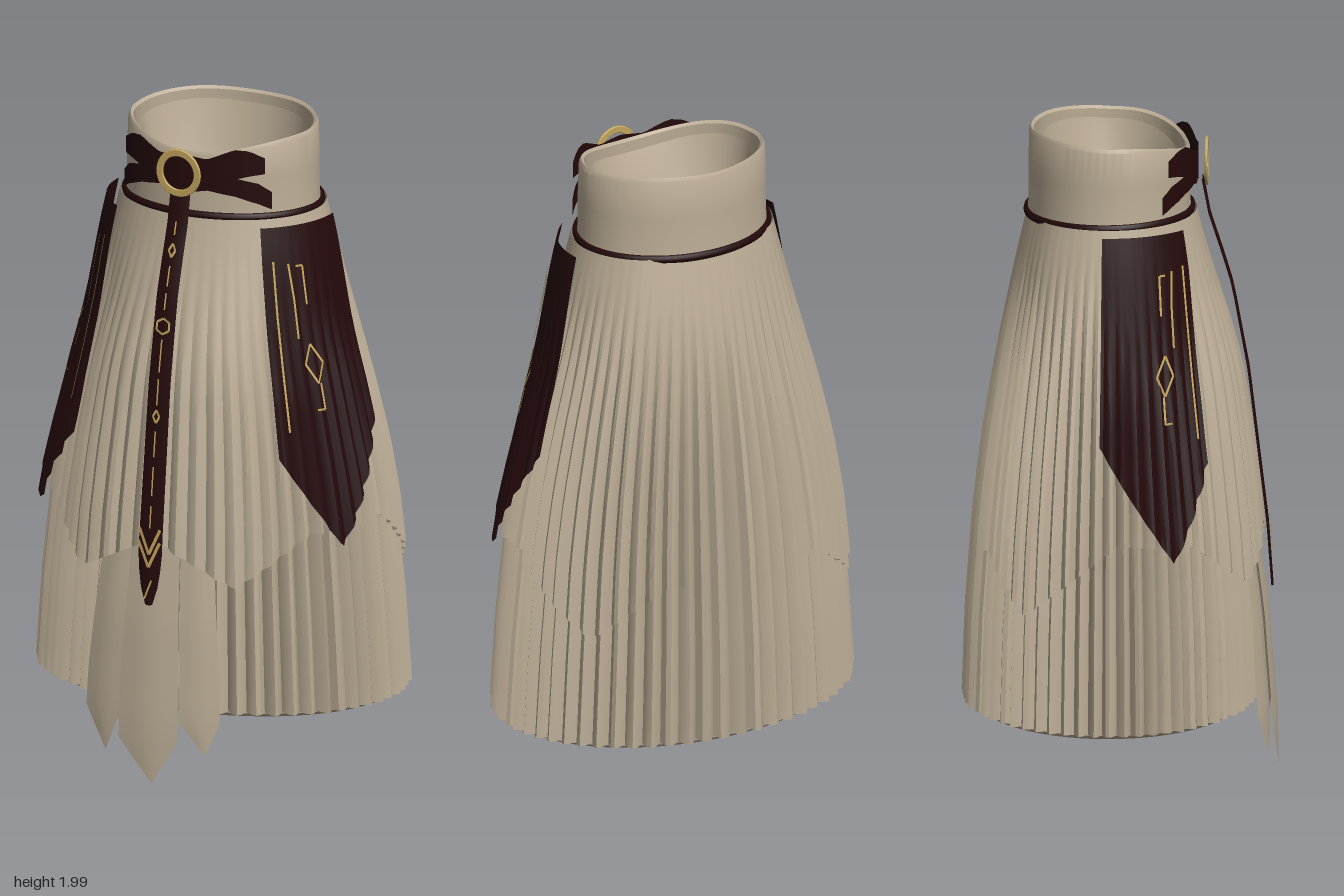
import * as THREE from 'three';
import { toCreasedNormals, mergeGeometries } from 'three/addons/utils/BufferGeometryUtils.js';

const CZ = -0.03; // centre of the waist in z
const PLEATS = 60;
const WAVE = [0.4, 1, 0.4, -1]; // cross-section of one pleat
const STEP = (2 * Math.PI) / (PLEATS * 4);
const smooth = THREE.MathUtils.smoothstep;

// linear lookup in a list of [key, value...] rows
function lookup(rows, k, col = 1) {
  if (k <= rows[0][0]) return rows[0][col];
  for (let i = 1; i < rows.length; i++) {
    const a = rows[i - 1], b = rows[i];
    if (k <= b[0]) return a[col] + ((b[col] - a[col]) * (k - a[0])) / (b[0] - a[0]);
  }
  return rows[rows.length - 1][col];
}

// skirt half-widths: y, x radius, z radius
const PROFILE = [
  [0.22, 0.58, 0.43], [0.5, 0.56, 0.42], [0.8, 0.528, 0.397], [1.0, 0.492, 0.374], [1.2, 0.445, 0.347],
  [1.4, 0.392, 0.316], [1.6, 0.342, 0.28], [1.74, 0.308, 0.248],
];
// hem of the overskirt: angle from the front, y
const HEM = [[0, 0.76], [0.44, 0.63], [0.9, 0.78], [1.5, 0.8], [2.17, 0.57], [2.6, 0.72]];
// lower edge of a side panel
const PANEL_HEM = [[0.73, 1.02], [1.09, 0.74], [1.62, 1.1]];
// forward position of the strap and of the hanging tabs by height
const STRAP_Z = [[0.56, 0.468], [0.76, 0.454], [1.24, 0.396], [1.5, 0.348], [1.6, 0.318], [1.72, 0.278], [1.84, 0.255]];
const TAB_Z = [[0, 0.486], [0.2, 0.476], [0.5, 0.452], [0.8, 0.411], [1.0, 0.385], [1.2, 0.352], [1.4, 0.3]];

const ring = (a, rx, rz, y) => [rx * Math.sin(a), y, CZ + rz * Math.cos(a)];

// point on the pleated cloth; off pushes it outwards
function cloth(a, y, off = 0, strength = 1) {
  const k = a / STEP, i = Math.floor(k + 1e-6), f = Math.max(0, k - i);
  const at = (n) => WAVE[((n % 4) + 4) % 4];
  const wave = at(i) * (1 - f) + at(i + 1) * f;
  const uneven = 0.85 + 0.15 * Math.sin(Math.round(a * 9) * 2.3);
  const fade = 1 - smooth(y, 0.9, 1.74);
  const o = off + 0.021 * strength * uneven * fade * wave;
  return ring(a, lookup(PROFILE, y, 1) + o, lookup(PROFILE, y, 2) + o, y);
}

// surface from a function of u and v; counter-clockwise when u runs right and v runs up
function grid(nu, nv, fn, flip = false) {
  const pos = [], index = [];
  for (let j = 0; j <= nv; j++) for (let i = 0; i <= nu; i++) pos.push(...fn(i / nu, j / nv));
  for (let j = 0; j < nv; j++) {
    for (let i = 0; i < nu; i++) {
      const a = j * (nu + 1) + i, b = a + 1, c = b + nu + 1, d = a + nu + 1;
      if (flip) index.push(a, c, b, a, d, c);
      else index.push(a, b, c, a, c, d);
    }
  }
  const g = new THREE.BufferGeometry();
  g.setAttribute('position', new THREE.Float32BufferAttribute(pos, 3));
  g.setIndex(index);
  return toCreasedNormals(g, 0.5);
}

// elliptical surface of revolution through rows of [x radius, z radius, y or y(angle)]
function ellipse(rows, flip = false) {
  return grid(64, rows.length - 1, (u, v) => {
    const r = rows[Math.round(v * (rows.length - 1))], a = u * Math.PI * 2;
    return ring(a, r[0], r[1], typeof r[2] === 'function' ? r[2](a) : r[2]);
  }, flip);
}

// flat embroidered line through a list of points, facing away from the waist axis
function thread(points, half = 0.0035) {
  const pos = [];
  for (let i = 1; i < points.length; i++) {
    const a = new THREE.Vector3(...points[i - 1]), b = new THREE.Vector3(...points[i]);
    const out = new THREE.Vector3(a.x, 0, a.z - CZ).normalize();
    const s = b.clone().sub(a).cross(out).setLength(half);
    const corners = [a.clone().sub(s), a.clone().add(s), b.clone().add(s), b.clone().sub(s)];
    for (const c of [0, 1, 2, 0, 2, 3]) pos.push(...corners[c].toArray());
  }
  const g = new THREE.BufferGeometry();
  g.setAttribute('position', new THREE.Float32BufferAttribute(pos, 3));
  g.computeVertexNormals();
  return g;
}

export function createModel() {
  const model = new THREE.Group();
  const linen = new THREE.MeshStandardMaterial({ color: 0xbbac95 });
  linen.name = 'linen';
  const maroon = new THREE.MeshStandardMaterial({ color: 0x24090b, side: THREE.DoubleSide });
  maroon.name = 'dark maroon';
  const gold = new THREE.MeshStandardMaterial({ color: 0xc2a55c });
  gold.name = 'gold';
  const add = (name, geometry, material) => {
    const m = new THREE.Mesh(geometry, material);
    m.name = name;
    model.add(m);
    return m;
  };

  // pleated underskirt and its smooth lining
  add('underskirt', grid(PLEATS * 4, 16, (u, v) => cloth(u * Math.PI * 2, 0.22 + 1.52 * v)), linen);
  add('lining', ellipse([[0.575, 0.425, 0.22], [0.55, 0.405, 0.205], [0.53, 0.39, 0.5], [0.45, 0.345, 1.0],
    [0.35, 0.285, 1.4], [0.288, 0.235, 1.74]], true), linen);

  // overskirt with a pointed hem, fuller and softer at the front, dying into the pleats at the back
  const over = (u, v) => {
    const a = (u * 2 - 1) * 104 * STEP, b = Math.abs(a), low = lookup(HEM, b), y = low + (1.735 - low) * v;
    const full = 0.045 * (1 - smooth(b, 0.35, 0.85)) * (1 - smooth(y, 1.2, 1.7));
    const off = 0.016 - 0.013 * smooth(b, 2.2, 2.7) + full;
    return cloth(a, y, off, 0.5 + 0.5 * smooth(b, 0.5, 1.2));
  };
  add('overskirt', grid(208, 14, over), linen);
  add('overskirtInside', grid(208, 14, over, true), linen);

  // waistband: outer wall, rim, inner wall, and the inner facing
  const top = (a) => {
    const front = Math.max(0, Math.cos(a)), back = Math.max(0, -Math.cos(a));
    return 1.98 - 0.045 * front ** 3 + 0.018 * back - 0.008 * back ** 8;
  };
  add('waistband', ellipse([[0.31, 0.25, 1.71], [0.304, 0.246, 1.76], [0.304, 0.246, 1.86],
    [0.3, 0.244, (a) => top(a) - 0.012], [0.293, 0.238, top], [0.284, 0.23, (a) => top(a) - 0.008],
    [0.287, 0.233, 1.74]]), linen);
  add('waistFacing', ellipse([[0.205, 0.15, 1.74], [0.235, 0.175, 1.83],
    [0.26, 0.204, (a) => top(a) - 0.03]], true), linen);

  // cord around the waist
  const cord = new THREE.TorusGeometry(1, 0.04, 8, 72);
  const p = cord.attributes.position;
  for (let i = 0; i < p.count; i++) {
    const a = Math.atan2(p.getX(i), p.getY(i)), r = (Math.hypot(p.getX(i), p.getY(i)) - 1) * 0.2;
    p.setXYZ(i, ...ring(a, 0.313 + r, 0.253 + r, 1.736 + 0.004 * Math.cos(a) - p.getZ(i) * 0.34));
  }
  cord.computeVertexNormals();
  add('waistCord', cord, maroon);

  for (const s of [1, -1]) {
    const side = s > 0 ? 'left' : 'right';

    // side panel with embroidery, standing off a little at the top and the tip
    const offset = (y) => 0.034 + 0.02 * smooth(y, 1.3, 1.72) + 0.014 * (1 - smooth(y, 0.74, 1.1));
    const panel = (a, y, lift = 0) => cloth(s * a, y, offset(y) + lift, 0.45);
    add(side + 'SidePanel', grid(34, 12, (u, v) => {
      const a = 0.73 + 0.89 * u, low = lookup(PANEL_HEM, a);
      return panel(a, low + (1.72 - low) * v);
    }, s < 0), maroon);
    const sew = (pts) => thread(pts.map(([a, y]) => panel(a, y, 0.006)));
    add(side + 'PanelEmbroidery', mergeGeometries([
      sew([[0.82, 1.62], [0.82, 1.45], [0.82, 1.28], [0.82, 1.1]]),
      sew([[0.95, 1.61], [0.97, 1.5], [0.97, 1.38]]),
      sew([[1.02, 1.6], [1.08, 1.6], [1.08, 1.48]]),
      sew([[1.06, 1.36], [1.15, 1.3], [1.08, 1.24], [1.0, 1.3], [1.06, 1.36]]),
      sew([[1.1, 1.24], [1.1, 1.16], [1.04, 1.16]]),
    ]), gold);

    // bow wings bent around the waistband: rows of [x, lower y, upper y]
    const wings = {
      Upper: [[0, 1.82, 1.935], [0.08, 1.845, 1.925], [0.16, 1.865, 1.96], [0.2, 1.875, 1.955], [0.238, 1.88, 1.93]],
      Lower: [[0, 1.81, 1.87], [0.08, 1.825, 1.88], [0.16, 1.81, 1.868], [0.22, 1.785, 1.85], [0.252, 1.765, 1.82]],
    };
    for (const [k, rows] of Object.entries(wings)) {
      add(side + 'Bow' + k, grid(16, 2, (u, v) => {
        const x = u * rows[4][0], lo = lookup(rows, x, 1), hi = lookup(rows, x, 2);
        const z = CZ + 0.266 * Math.sqrt(1 - (x / 0.322) ** 2);
        return [s * x, lo + (hi - lo) * v, z + (k === 'Upper' ? 0.004 : 0)];
      }, s < 0), maroon);
    }
  }

  // ring buckle
  const hoop = new THREE.Shape().absarc(0, 0, 0.073, 0, Math.PI * 2);
  hoop.holes.push(new THREE.Path().absarc(0, 0, 0.055, 0, Math.PI * 2, true));
  const buckle = add('buckle', new THREE.ExtrudeGeometry(hoop, {
    depth: 0.005, bevelSize: 0.002, bevelThickness: 0.002, bevelSegments: 1, curveSegments: 20,
  }), gold);
  buckle.position.set(0, 1.88, 0.262);

  // centre strap with a pointed end, slightly cupped
  add('centreStrap', grid(4, 24, (u, v) => {
    const y = 0.56 + 1.27 * v, t = u * 2 - 1;
    const w = lookup([[0.56, 0.012], [0.62, 0.03], [0.7, 0.04], [1.83, 0.034]], y);
    return [t * w, y, lookup(STRAP_Z, y) - 0.007 * t * t];
  }), maroon);
  const stitch = (pts, half) => thread(pts.map(([x, y]) => [x, y, lookup(STRAP_Z, y) + 0.004]), half);
  const loop = (y, w, h, n) => stitch(Array.from({ length: n + 1 }, (_, i) => {
    const a = (i / n) * Math.PI * 2;
    return [w * Math.sin(a), y + h * Math.cos(a)];
  }));
  const dashes = [[1.73, 1.69], [1.6, 1.54], [1.52, 1.47], [1.38, 1.28], [1.26, 1.18], [1.1, 1.02], [0.99, 0.9], [0.87, 0.8]];
  add('strapEmbroidery', mergeGeometries([
    ...dashes.map(([a, b]) => stitch([[0, a], [0, b]], 0.0025)),
    loop(1.42, 0.024, 0.024, 6), loop(1.645, 0.011, 0.02, 4), loop(1.145, 0.011, 0.02, 4),
    stitch([[-0.035, 0.8], [0, 0.72], [0.035, 0.8]], 0.005),
    stitch([[-0.036, 0.76], [0, 0.68], [0.036, 0.76]], 0.005),
    stitch([[-0.01, 0.58], [0.012, 0.64]], 0.003),
  ]), gold);

  // three tabs hanging below the overskirt: left x, right x, shoulder y, tip x, tip y
  const tabs = [[-0.1, 0.1, 0.13, 0.02, 0], [-0.23, -0.1, 0.2, -0.15, 0.075], [0.1, 0.225, 0.2, 0.185, 0.1]];
  tabs.forEach(([x0, x1, shoulder, tipX, tipY], n) => {
    const point = (u, v) => {
      const y = v < 0.1 ? tipY + (shoulder - tipY) * v * 10 : shoulder + ((1.4 - shoulder) * (v - 0.1)) / 0.9;
      const t = Math.min(1, v * 10), narrow = 1 - 0.42 * Math.max(0, y - 0.3);
      const x = (tipX + (x0 + (x1 - x0) * u - tipX) * t) * narrow;
      const fold = 0.006 * (1 - Math.abs(u * 2 - 1)) * t;
      return [x, y, lookup(TAB_Z, y) - 0.75 * x * x - (n ? 0.006 : 0) + fold - 0.004];
    };
    const name = ['centre', 'right', 'left'][n] + 'Tab';
    add(name, grid(4, 20, point), linen);
    add(name + 'Back', grid(4, 20, point, true), linen);
  });

  return model;
}
